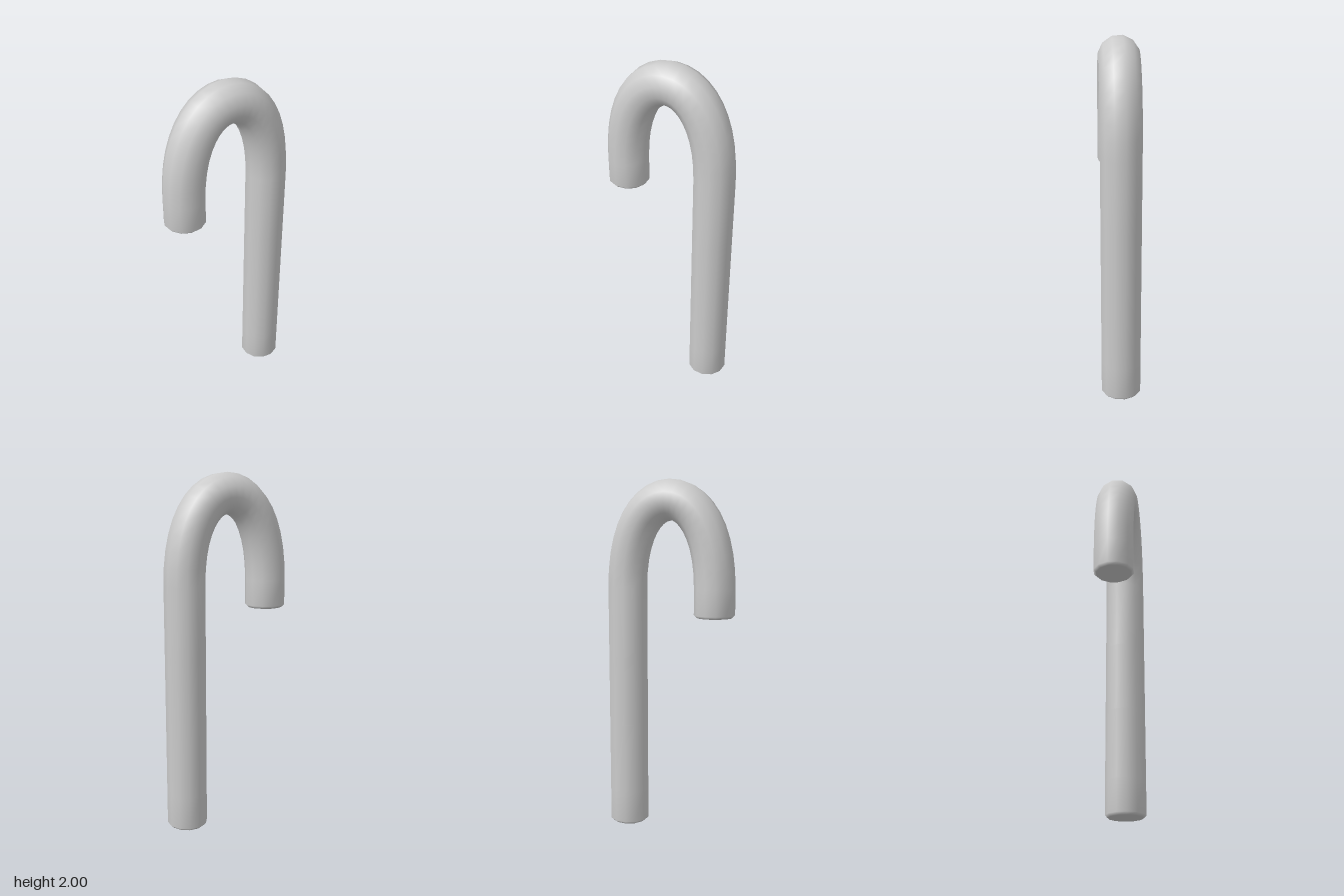
import * as THREE from 'three';

const SIDES = 12, RADIUS = 0.115, BEVEL = 0.015, HALF_WIDTH = 0.262;
const TOP = 1.887, BEND_START = 1.4, TIP = 1.24;

// Sweeps a twelve-sided section along rings of { point, tangent, radius } and caps both ends.
function sweep(rings) {
  const positions = [], index = [];
  for (const { point, tangent, radius } of rings) {
    for (let j = 0; j < SIDES; j++) {
      const a = (j / SIDES) * Math.PI * 2 - Math.PI / 18;
      const out = radius * Math.cos(a);
      positions.push(point.x + tangent.y * out, point.y - tangent.x * out, radius * Math.sin(a));
    }
  }
  const last = rings.length - 1;
  const start = rings.length * SIDES, end = start + 1;
  for (const { point } of [rings[0], rings[last]]) positions.push(point.x, point.y, 0);
  for (let j = 0; j < SIDES; j++) {
    const k = (j + 1) % SIDES;
    for (let i = 0; i < last; i++) {
      const a = i * SIDES, b = a + SIDES;
      index.push(a + j, b + j, a + k, a + k, b + j, b + k);
    }
    index.push(start, j, k, end, last * SIDES + k, last * SIDES + j);
  }
  const geometry = new THREE.BufferGeometry();
  geometry.setAttribute('position', new THREE.Float32BufferAttribute(positions, 3));
  geometry.setIndex(index);
  geometry.computeVertexNormals();
  return geometry;
}

export function createModel() {
  const group = new THREE.Group();
  group.name = 'hookedCane';
  const rings = [];
  const up = new THREE.Vector2(0, 1), down = new THREE.Vector2(0, -1);
  const add = (x, y, tangent, radius = RADIUS) =>
    rings.push({ point: new THREE.Vector2(x, y), tangent, radius });

  // Long straight shaft with a bevelled foot
  add(HALF_WIDTH, 0, up, RADIUS - BEVEL);
  add(HALF_WIDTH, BEVEL, up);
  for (const y of [0.2, 0.6, 1.0]) add(HALF_WIDTH, y, up);

  // Mirrored quarter bends form the crook
  const v = (x, y) => new THREE.Vector2(x, y);
  const rise = new THREE.CubicBezierCurve(
    v(HALF_WIDTH, BEND_START), v(HALF_WIDTH, 1.72), v(0.14, TOP), v(0, TOP));
  const STEPS = 10;
  for (let i = 0; i <= STEPS * 2; i++) {
    const mirrored = i > STEPS;
    const t = (mirrored ? 2 * STEPS - i : i) / STEPS;
    const p = rise.getPoint(t), d = rise.getTangent(t);
    add(mirrored ? -p.x : p.x, p.y, mirrored ? v(d.x, -d.y) : d);
  }

  // Short arm with a bevelled tip
  add(-HALF_WIDTH, TIP + BEVEL, down);
  add(-HALF_WIDTH, TIP, down, RADIUS - BEVEL);

  const cane = new THREE.Mesh(sweep(rings), new THREE.MeshStandardMaterial({ color: 0xcccccc }));
  cane.name = 'cane';
  group.add(cane);
  return group;
}
